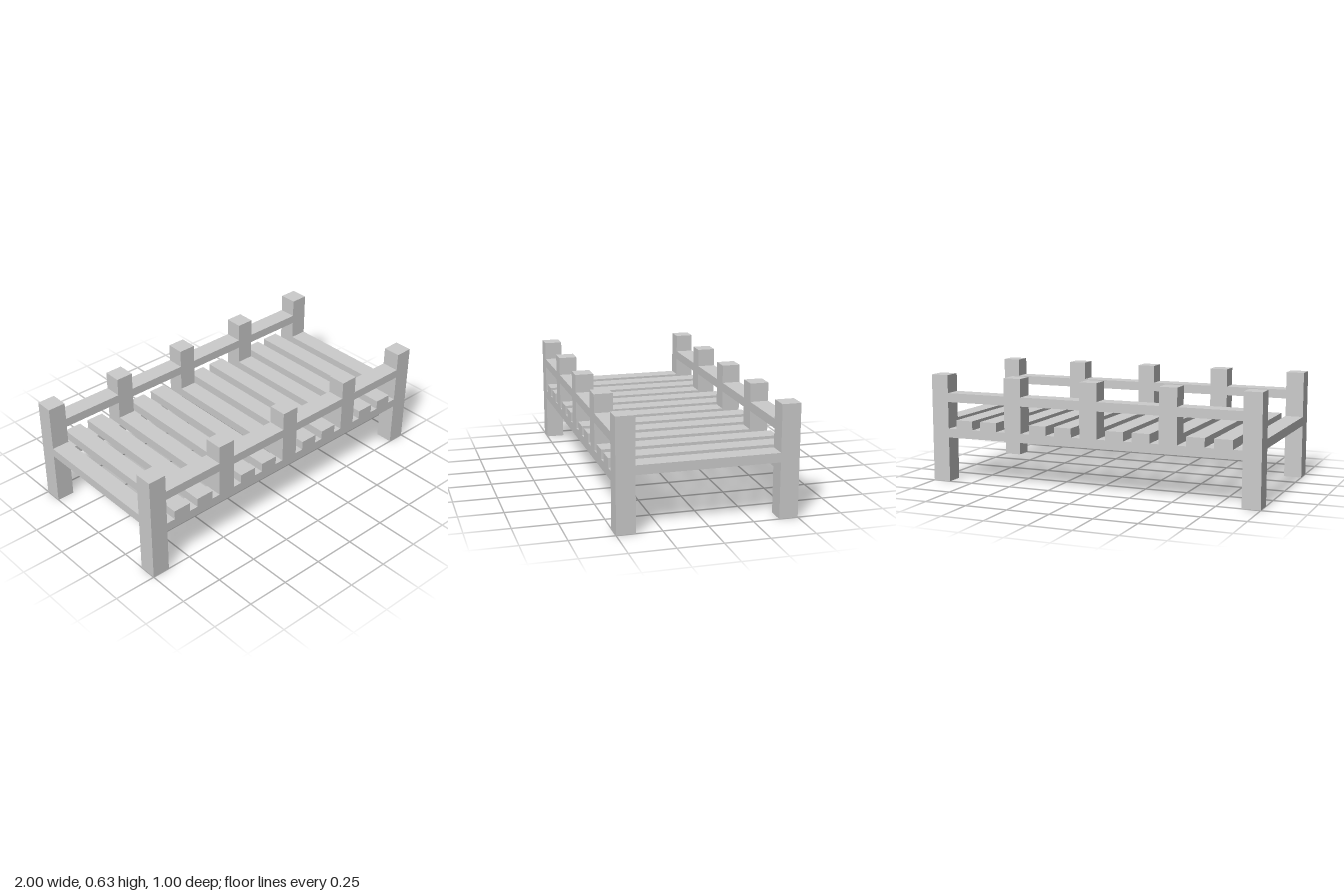
import * as THREE from 'three';

// Everything sits on a grid of 38 cells along the length
const U = 2 / 38;

export function createModel() {
  const bed = new THREE.Group();
  bed.name = 'slattedBed';
  const material = new THREE.MeshStandardMaterial({ color: 0xcccccc, flatShading: true });

  // Box given by its ranges in grid cells, measured from the left-front-bottom of the grid
  const addBox = (parent, name, [x0, x1], [y0, y1], [z0, z1]) => {
    const mesh = new THREE.Mesh(
      new THREE.BoxGeometry((x1 - x0) * U, (y1 - y0) * U, (z1 - z0) * U), material);
    mesh.position.set(((x0 + x1) / 2 - 19) * U, ((y0 + y1) / 2) * U, ((z0 + z1) / 2 - 9.5) * U);
    mesh.name = name;
    parent.add(mesh);
  };

  const postStarts = [0, 9, 18, 27, 36];

  // Two matching long sides
  for (const [name, z] of [['backSide', [0, 2]], ['frontSide', [17, 19]]]) {
    const side = new THREE.Group();
    side.name = name;
    bed.add(side);

    // Corner legs reach the ground, short posts start on the lower rail
    for (const x of postStarts) {
      const corner = x === 0 || x === 36;
      addBox(side, corner ? 'cornerLeg' : 'railPost', [x, x + 2], [corner ? 0 : 6, 12], z);
    }

    // Lower side rail, and upper guard rail in spans between the posts
    addBox(side, 'lowerRail', [2, 36], [5, 6], z);
    for (let i = 0; i < postStarts.length - 1; i++) {
      addBox(side, 'guardRail', [postStarts[i] + 2, postStarts[i + 1]], [9, 10], z);
    }
  }

  // Slats rest on the lower rails; those in line with a post stop against it
  const slats = new THREE.Group();
  slats.name = 'slats';
  bed.add(slats);
  for (let x = 0; x <= 36; x += 3) {
    addBox(slats, 'slat', [x, x + 2], [6, 7], postStarts.includes(x) ? [2, 17] : [0, 19]);
  }

  return bed;
}
